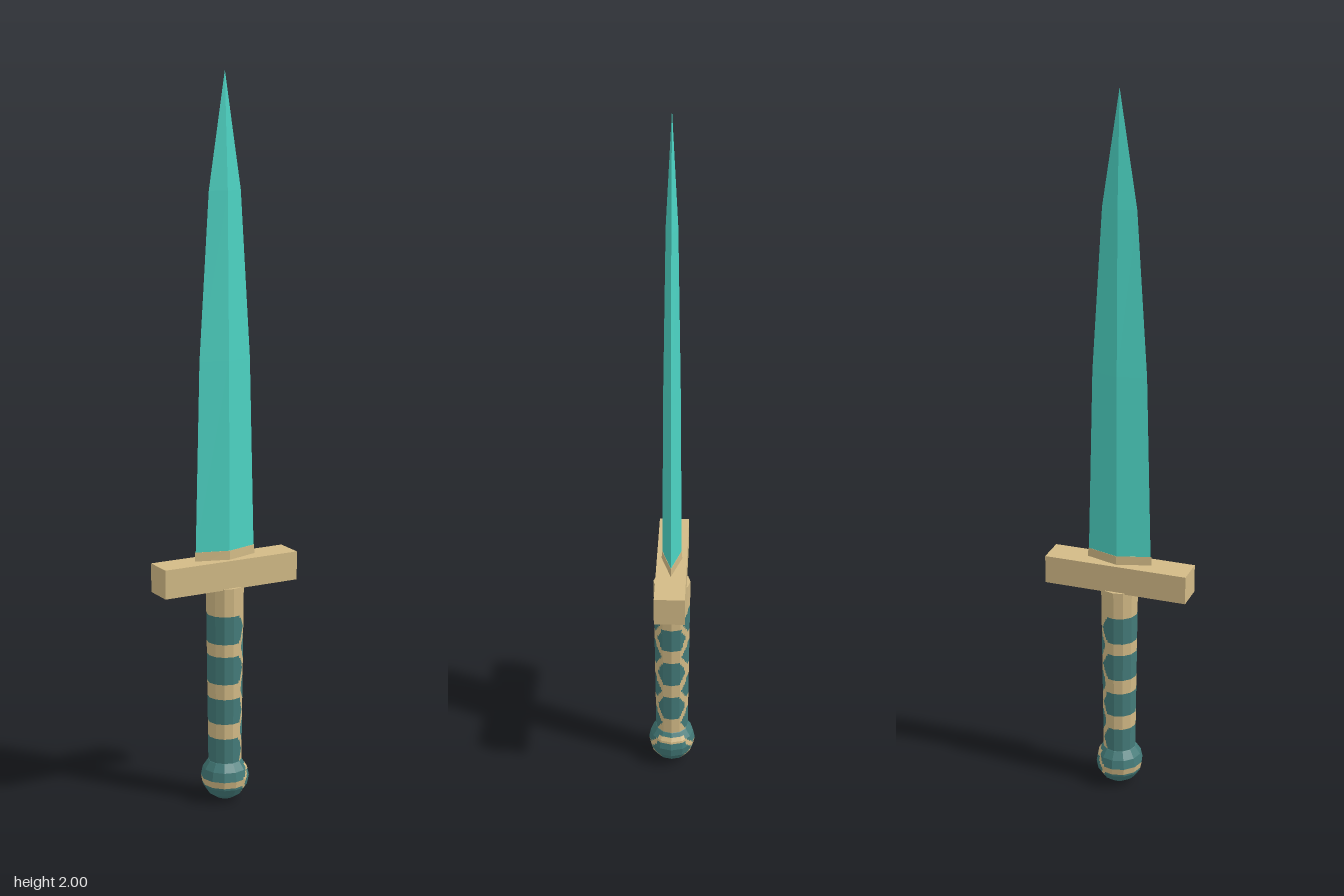
import * as THREE from 'three';

const { clamp, lerp } = THREE.MathUtils;
const flat = (name, color) => {
  const m = new THREE.MeshStandardMaterial({ color, flatShading: true });
  m.name = name;
  return m;
};

// Closed surface of rings: point(row, col) gives a corner, pick(centre) a material index
function ringSurface(name, rows, cols, point, materials, pick = () => 0) {
  const lists = materials.map(() => []);
  const centre = new THREE.Vector3();
  for (let i = 0; i < rows; i++) {
    for (let j = 0; j < cols; j++) {
      const k = (j + 1) % cols;
      const a = point(i, j), b = point(i + 1, j), c = point(i + 1, k), d = point(i, k);
      centre.copy(a).add(b).add(c).add(d).multiplyScalar(0.25);
      for (const p of [a, b, d, b, c, d]) lists[pick(centre)].push(p.x, p.y, p.z);
    }
  }
  const geo = new THREE.BufferGeometry();
  geo.setAttribute('position', new THREE.Float32BufferAttribute(lists.flat(), 3));
  let start = 0;
  lists.forEach((list, m) => {
    geo.addGroup(start, list.length / 3, m);
    start += list.length / 3;
  });
  geo.computeVertexNormals();
  const mesh = new THREE.Mesh(geo, materials);
  mesh.name = name;
  return mesh;
}

// Twelve-sided ring, each side cut into small cells for the painted pattern
const SIDES = 12, CELLS = 5, COLS = SIDES * CELLS;
function ringPoint(r, y, j) {
  const step = (Math.PI * 2) / SIDES;
  const a = (j / COLS) * Math.PI * 2;
  const offset = ((j % CELLS) / CELLS) * step - step / 2;
  const k = (r * Math.cos(step / 2)) / Math.cos(offset);
  return new THREE.Vector3(k * Math.cos(a), y, k * Math.sin(a));
}

// Degrees away from the +x side, 0 to 180
const sideAngle = (p) => Math.abs(THREE.MathUtils.radToDeg(Math.atan2(p.z, p.x)));

// Grip wrap: bands tapering toward +x, interlocked with patches on that side
function gripPick(p) {
  const f = sideAngle(p);
  const band = 0.039 * clamp((f - 36) / 32, 0, 1);
  const patch = 0.039 * clamp((57 - f) / 28, 0, 1);
  const inBand = [0.145, 0.265, 0.385, 0.502].some((y) => Math.abs(p.y - y) < band);
  const inPatch = [0.205, 0.325, 0.445].some((y) => Math.abs(p.y - y) < patch);
  return inBand || inPatch ? 1 : 0;
}

// Pommel: one light stripe that forks in two around the +x side
function pommelPick(p) {
  const fork = 0.042 * clamp((68 - sideAngle(p)) / 32, 0, 1);
  return Math.abs(Math.abs(p.y - 0.055) - fork) < 0.009 ? 0 : 1;
}

export function createModel() {
  const group = new THREE.Group();
  const gold = flat('gold', 0xd2ba86);
  const teal = flat('bladeTeal', 0x4cd3c3);
  const dark = flat('wrapTeal', 0x447b79);

  // Diamond-section rings: height, half width, half depth
  const diamond = (name, rings, material) => ringSurface(name, rings.length - 1, 4, (i, j) => {
    const [y, w, d] = rings[i];
    const a = (j * Math.PI) / 2;
    return new THREE.Vector3(w * Math.cos(a), y, d * Math.sin(a));
  }, [material]);

  group.add(diamond('blade', [
    [0.72, 0.09, 0.027], [1.24, 0.077, 0.023], [1.69, 0.048, 0.016], [2, 0, 0],
  ], teal));
  group.add(diamond('bladeCollar', [
    [0.68, 0.093, 0.029], [0.72, 0.092, 0.028], [0.72, 0, 0],
  ], gold));

  // Crossguard
  const guard = new THREE.Mesh(new THREE.BoxGeometry(0.408, 0.08, 0.084), gold);
  guard.name = 'guard';
  guard.position.y = 0.655;
  group.add(guard);

  // Grip, with a final row closing its top
  const rows = 72;
  group.add(ringSurface('grip', rows + 1, COLS, (i, j) => {
    const t = Math.min(i / rows, 1);
    return ringPoint(i > rows ? 0 : lerp(0.046, 0.052, t), lerp(0.1, 0.618, t), j);
  }, [gold, dark], gripPick));

  // Pommel: faceted ball with straight steps between its rings
  const bands = 8, cuts = 4, radius = 0.067;
  const profile = (n) => [radius * Math.sin((n * Math.PI) / bands), radius * (1 - Math.cos((n * Math.PI) / bands))];
  group.add(ringSurface('pommel', bands * cuts, COLS, (i, j) => {
    const n = Math.min(Math.floor(i / cuts), bands - 1);
    const t = i / cuts - n;
    const [r0, y0] = profile(n), [r1, y1] = profile(n + 1);
    return ringPoint(lerp(r0, r1, t), lerp(y0, y1, t), j);
  }, [gold, dark], pommelPick));

  return group;
}
